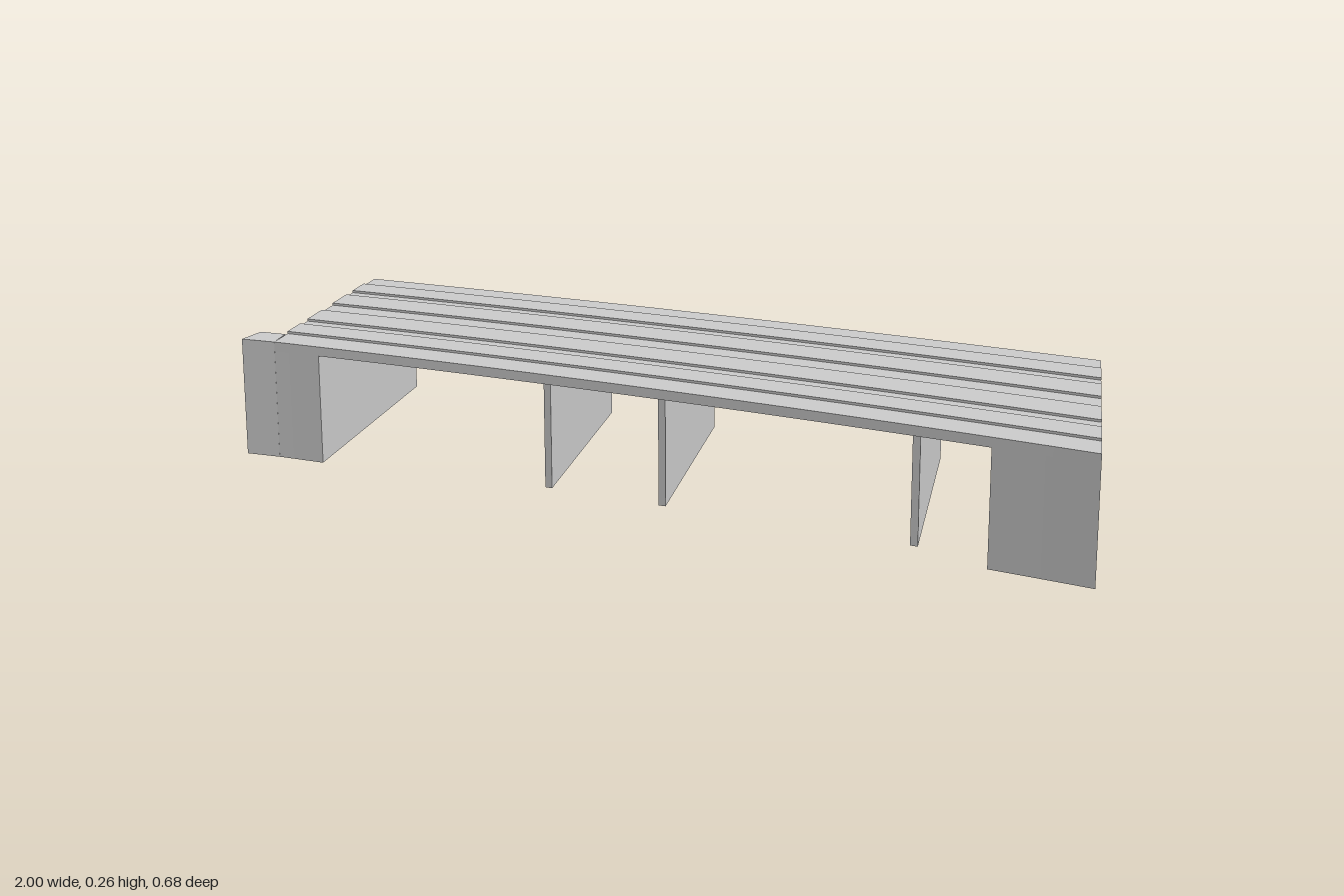
import * as THREE from 'three';

const lerp = THREE.MathUtils.lerp;
const DECK_BOTTOM = 0.235, DECK_TOP = 0.255, STRIP_TOP = 0.26;

// Plan position on the skewed, curved deck: t runs right end to left end (+x), u front to back
function planPoint(t, u) {
  const xf = lerp(-0.822, 1, t), xb = lerp(-1, 0.79, t);
  const zf = 0.295 + 0.035 * (xf - 0.1) ** 2;
  const zb = -0.342 + 0.029 * (xb - 0.2) ** 2;
  return [lerp(xf, xb, u), lerp(zf, zb, u)];
}

// Outline of a piece of the deck between two t and two u values
function band(t0, t1, u0, u1, steps = 20) {
  const front = [], back = [];
  for (let i = 0; i <= steps; i++) {
    const t = lerp(t0, t1, i / steps);
    front.push(planPoint(t, u0));
    back.unshift(planPoint(t, u1));
  }
  return [...front, ...back];
}

export function createModel() {
  const group = new THREE.Group();
  const material = new THREE.MeshStandardMaterial({ color: 0xcccccc, flatShading: true });

  // Raise a plan outline of [x, z] points from y0 to y1
  function slab(name, outline, y0, y1) {
    const shape = new THREE.Shape(outline.map(([x, z]) => new THREE.Vector2(x, -z)));
    const geometry = new THREE.ExtrudeGeometry(shape, { depth: y1 - y0, bevelEnabled: false });
    geometry.rotateX(-Math.PI / 2).translate(0, y0, 0);
    const mesh = new THREE.Mesh(geometry, material);
    mesh.name = name;
    group.add(mesh);
  }

  // Thin curved deck
  slab('deck', band(0, 1, 0, 1), DECK_BOTTOM, DECK_TOP);

  // Four raised strips along the deck
  [[0.12, 0.238], [0.305, 0.446], [0.554, 0.695], [0.762, 0.88]].forEach(([u0, u1], i) =>
    slab(`raisedStrip${i + 1}`, band(0, 1, u0, u1), DECK_TOP - 0.005, STRIP_TOP));

  // Solid abutments at both ends
  slab('rightAbutment', band(0, 0.06, 0, 1, 3), 0, DECK_BOTTOM);
  slab('leftAbutment', band(0.884, 1, 0, 1, 4), 0, DECK_BOTTOM);

  // Short wing wall at the front of the right abutment
  slab('wingWall', [[-0.9, 0.335], [-0.905, 0.263], [-0.845, 0.256], [-0.822, 0.325]], 0, DECK_TOP);

  // Skewed thin piers, given by the x of their front end
  [-0.2, 0.065, 0.61].forEach((x, i) =>
    slab(`pier${i + 1}`, [[x, 0.25], [x + 0.016, 0.25], [x - 0.161, -0.32], [x - 0.177, -0.32]],
      0, DECK_BOTTOM + 0.005));

  return group;
}
